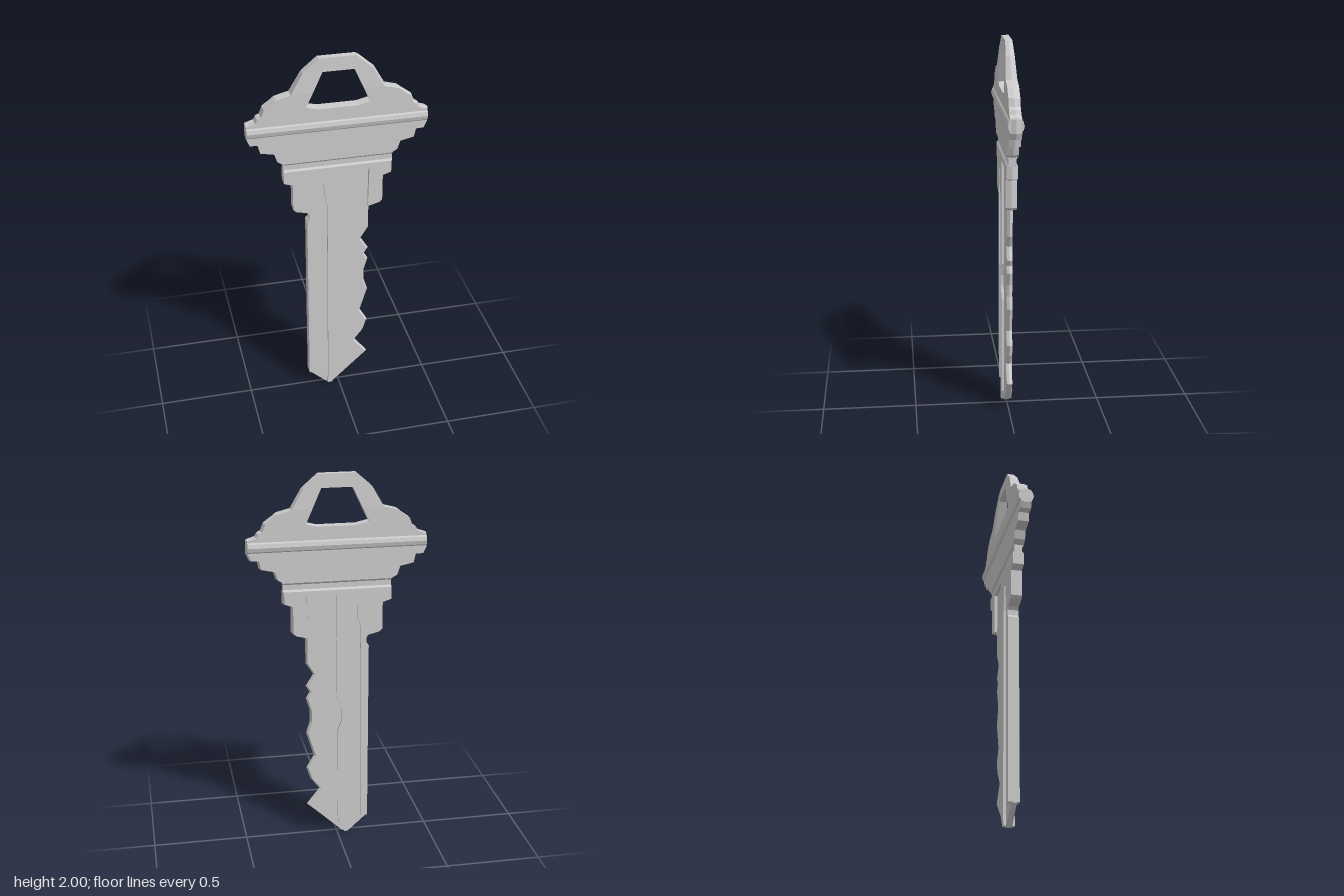
import * as THREE from 'three';

const HALF = 0.029; // half thickness of the bow and raised blade parts
const CORE = 0.015; // half thickness of the milled blade

const material = new THREE.MeshStandardMaterial({ color: 0xcccccc, flatShading: true });

// Flat plate centred on z = 0; edge points picked by isRidge get a raised middle line
function plate(name, points, half, isRidge = () => false, halfAt = () => half) {
  const shape = new THREE.Shape(points.map(([x, y]) => new THREE.Vector2(x, y)));
  const geo = new THREE.ExtrudeGeometry(shape, { depth: 2, steps: 2, bevelEnabled: false });
  geo.translate(0, 0, -1);
  const p = geo.attributes.position;
  for (let i = 0; i < p.count; i++) {
    const x = p.getX(i), y = p.getY(i), z = p.getZ(i);
    if (Math.abs(z) < 0.01 && isRidge(x, y)) p.setX(i, x + 0.01);
    p.setZ(i, z * halfAt(y));
  }
  geo.computeVertexNormals();
  const mesh = new THREE.Mesh(geo, material);
  mesh.name = name;
  return mesh;
}

// Right-hand copy of a left outline, in reverse order, leaving room for the ridge
const mirrored = (pts) => pts.map(([x, y]) => [-x - 0.01, y]).reverse();

export function createModel() {
  const key = new THREE.Group();
  key.name = 'key';

  // Arch of the bow, thinning towards the top
  const archOuter = [[-0.24, 1.825], [-0.18, 1.93], [-0.10, 2.0]];
  const archInner = [[0.127, 1.825], [0.08, 1.93], [-0.08, 1.93], [-0.13, 1.825]];
  key.add(plate('bowArch', [...archOuter, ...mirrored(archOuter), ...archInner], HALF,
    (x, y) => x > 0.17 || (x > 0 && y > 1.95),
    (y) => HALF - 0.011 * (y - 1.825) / 0.175));

  // Wide stepped body of the bow, with the lower half of the hole
  const bowSide = [
    [-0.285, 1.447], [-0.315, 1.465], [-0.33, 1.51], [-0.40, 1.525], [-0.41, 1.57],
    [-0.45, 1.572], [-0.465, 1.605], [-0.465, 1.675], [-0.42, 1.69], [-0.41, 1.71],
    [-0.39, 1.72], [-0.375, 1.76], [-0.34, 1.785], [-0.315, 1.805], [-0.24, 1.825],
  ];
  const holeBottom = [[-0.13, 1.825], [-0.165, 1.75], [-0.10, 1.735], [0.10, 1.735], [0.16, 1.75], [0.127, 1.825]];
  key.add(plate('bowBody', [...bowSide, ...holeBottom, ...mirrored(bowSide)], HALF, (x) => x > 0.17));

  // Rounded bar across the bow
  const bar = new THREE.Mesh(new THREE.CylinderGeometry(0.041, 0.041, 0.922, 12), material);
  bar.rotation.z = Math.PI / 2;
  bar.position.set(-0.004, 1.64, 0);
  bar.name = 'crossBar';
  key.add(bar);

  // Shallow groove between bow and shoulder, swept along x
  const neckSide = [[HALF, 1.40], [0.02, 1.41], [0.02, 1.437], [HALF, 1.447]];
  const neckShape = new THREE.Shape([...neckSide, ...neckSide.map(([z, y]) => [-z, y]).reverse()]
    .map(([z, y]) => new THREE.Vector2(z, y)));
  const neckGeo = new THREE.ExtrudeGeometry(neckShape, { depth: 0.565, bevelEnabled: false });
  neckGeo.rotateY(Math.PI / 2);
  const neck = new THREE.Mesh(neckGeo, material);
  neck.position.x = -0.285;
  neck.name = 'neckGroove';
  key.add(neck);

  // Shoulder, back strip and middle rib standing above the milled blade
  const shoulderSide = [
    [-0.165, 1.145], [-0.225, 1.16], [-0.24, 1.175], [-0.24, 1.32], [-0.285, 1.335], [-0.285, 1.40],
  ];
  const backStrip = [
    [-0.11, 1.31], [-0.11, 1.24], [-0.122, 1.20], [-0.125, 1.10], [-0.13, 0.09],
    [-0.168, 0.09], [-0.168, 1.085], [-0.155, 1.10], [-0.155, 1.13],
  ];
  const rib = [
    [0.16, 1.37], [0.005, 1.37], [0, 0.8], [-0.025, 0.73], [-0.025, 0.67], [0, 0.60], [0, 0.20],
    [-0.007, 0.06], [-0.04, 0], [-0.065, 0], [-0.06, 0.05], [-0.06, 1.17], [-0.07, 1.22], [-0.08, 1.31],
  ];
  key.add(plate('shoulderAndRibs',
    [...backStrip, ...shoulderSide, ...mirrored(shoulderSide), ...rib], HALF, (x) => x > 0.2));

  // Thin milled blade with the cut teeth
  const teeth = [
    [0.155, 1.0], [0.115, 0.935], [0.155, 0.87], [0.135, 0.835], [0.155, 0.80], [0.135, 0.73],
    [0.135, 0.665], [0.155, 0.60], [0.115, 0.465], [0.155, 0.395], [0.135, 0.33], [0.085, 0.265], [0.155, 0.175],
  ];
  key.add(plate('blade', [
    [-0.15, 1.39], [0.155, 1.39], ...teeth, [-0.03, 0], [-0.07, 0], [-0.166, 0.088], [-0.15, 0.12],
  ], CORE, (x) => x > 0.08));

  return key;
}
